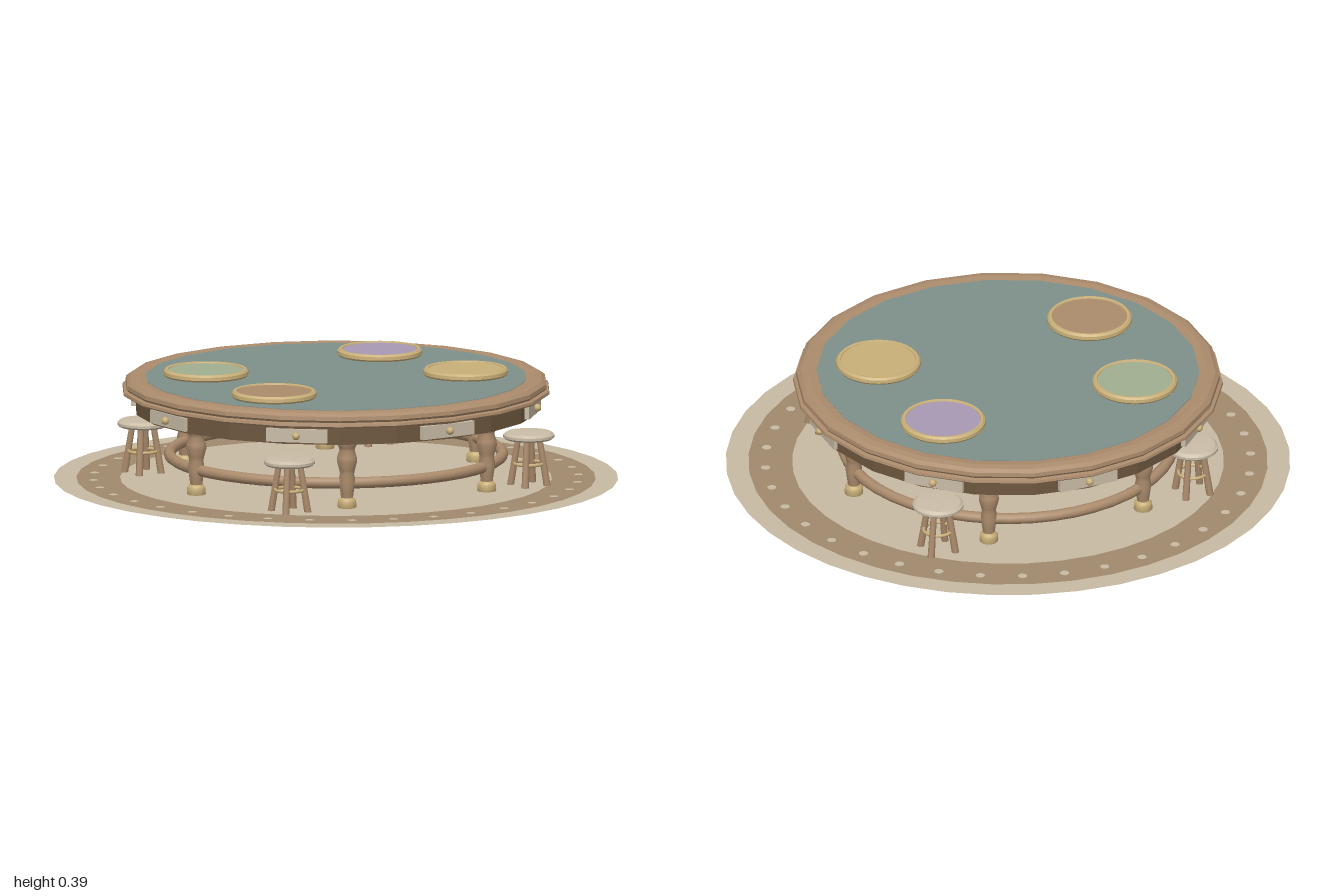
import * as THREE from 'three';
import { toCreasedNormals } from 'three/addons/utils/BufferGeometryUtils.js';

const mat = (name, color, extra = {}) => {
  const m = new THREE.MeshStandardMaterial({ color, ...extra });
  m.name = name;
  return m;
};

export function createModel() {
  const wood = mat('wood', 0xab8b6c);
  const darkWood = mat('dark wood', 0x6e573f);
  const cream = mat('cream', 0xcabda7);
  const rugCream = mat('rug cream', 0xc8baa4, { side: THREE.DoubleSide });
  const rugBrown = mat('rug brown', 0xa18a6d, { side: THREE.DoubleSide });
  const felt = mat('felt', 0x7d9089);
  const brass = mat('brass', 0xc9af78);
  const green = mat('green', 0xa0ae90);
  const purple = mat('purple', 0xa899b4);

  const root = new THREE.Group();
  root.name = 'roundTable';
  const add = (parent, name, geo, material, x = 0, y = 0, z = 0) => {
    const m = new THREE.Mesh(geo, material);
    m.name = name;
    m.position.set(x, y, z);
    parent.add(m);
    return m;
  };
  const group = (name, x = 0, y = 0, z = 0) => {
    const g = new THREE.Group();
    g.name = name;
    g.position.set(x, y, z);
    root.add(g);
    return g;
  };
  const lathe = (pts, segs, crease) => toCreasedNormals(
    new THREE.LatheGeometry(pts.map(p => new THREE.Vector2(...p)), segs), crease);
  const flatRing = (a, b) => new THREE.RingGeometry(a, b, 40).rotateX(-Math.PI / 2);

  // Rug: flat disc, woven band and border, with a ring of dots
  const rug = group('rug');
  add(rug, 'rugCentre', new THREE.CircleGeometry(0.765, 40).rotateX(-Math.PI / 2), rugCream, 0, 0.004);
  add(rug, 'rugBand', flatRing(0.765, 0.92), rugBrown, 0, 0.004);
  add(rug, 'rugBorder', flatRing(0.92, 1), rugCream, 0, 0.004);
  const dot = new THREE.CircleGeometry(0.017, 8).rotateX(-Math.PI / 2);
  for (let i = 0; i < 36; i++) {
    const a = i * Math.PI / 18;
    add(rug, 'rugDot', dot, rugCream, 0.86 * Math.sin(a), 0.006, 0.86 * Math.cos(a));
  }

  // Table top: faceted rim with a stepped lip, felt inset, dark apron
  const table = group('table');
  add(table, 'rim', lathe([
    [0.7, 0.314], [0.755, 0.316], [0.762, 0.322], [0.76, 0.331], [0.745, 0.334],
    [0.751, 0.342], [0.749, 0.356], [0.735, 0.366], [0.71, 0.37], [0.67, 0.366]
  ], 22, 0.25), wood);
  add(table, 'feltTop', new THREE.CylinderGeometry(0.678, 0.678, 0.04, 22), felt, 0, 0.348);
  add(table, 'apron', toCreasedNormals(new THREE.CylinderGeometry(0.715, 0.715, 0.075, 22), 0.25),
    darkWood, 0, 0.2875);

  // Eight drawers around the apron, each with a brass knob
  const drawerGeo = new THREE.BoxGeometry(0.22, 0.048, 0.024);
  const knobGeo = new THREE.SphereGeometry(0.014, 12, 8);
  for (let i = 0; i < 8; i++) {
    const d = group('drawer');
    d.rotation.y = i * Math.PI / 4;
    add(d, 'drawerFront', drawerGeo, cream, 0, 0.281, 0.707);
    add(d, 'drawerKnob', knobGeo, brass, 0, 0.281, 0.727);
  }

  // Six turned legs on brass feet, joined by a ring stretcher
  const legGeo = lathe([
    [0.02, 0.03], [0.024, 0.06], [0.03, 0.1], [0.025, 0.125], [0.028, 0.14], [0.036, 0.17],
    [0.035, 0.185], [0.027, 0.21], [0.03, 0.222], [0.036, 0.232], [0.036, 0.252]
  ], 14, 0.9);
  const footGeo = lathe([
    [0, 0], [0.03, 0], [0.034, 0.008], [0.032, 0.03], [0.024, 0.04], [0, 0.04]
  ], 14, 0.7);
  for (let i = 0; i < 6; i++) {
    const a = Math.PI / 6 + i * Math.PI / 3;
    const leg = group('tableLeg', 0.595 * Math.sin(a), 0, 0.595 * Math.cos(a));
    add(leg, 'legPost', legGeo, wood);
    add(leg, 'legFoot', footGeo, brass);
  }
  add(table, 'stretcherRing', new THREE.TorusGeometry(0.59, 0.02, 10, 48).rotateX(Math.PI / 2), wood, 0, 0.091);

  // Four stools: padded round seat, splayed legs and a brass foot ring
  const seatGeo = lathe([
    [0, 0.17], [0.082, 0.17], [0.091, 0.177], [0.091, 0.186], [0.08, 0.195], [0, 0.199]
  ], 20, 0.6);
  const top = new THREE.Vector3(0.027, 0.172, 0.027), foot = new THREE.Vector3(0.047, 0, 0.047);
  const stoolLegGeo = new THREE.CylinderGeometry(0.011, 0.013, top.distanceTo(foot), 10);
  stoolLegGeo.applyQuaternion(new THREE.Quaternion().setFromUnitVectors(
    new THREE.Vector3(0, 1, 0), top.clone().sub(foot).normalize()));
  const mid = top.clone().add(foot).multiplyScalar(0.5);
  stoolLegGeo.translate(mid.x, mid.y + 0.001, mid.z);
  const footRing = new THREE.TorusGeometry(0.051, 0.006, 8, 24).rotateX(Math.PI / 2);
  for (const [x, z] of [[-0.51, 0.467], [-0.51, -0.467], [0.487, 0.5], [0.487, -0.5]]) {
    const stool = group('stool', x, 0, z);
    add(stool, 'stoolSeat', seatGeo, cream);
    for (let i = 0; i < 4; i++) add(stool, 'stoolLeg', stoolLegGeo, wood).rotation.y = i * Math.PI / 2;
    add(stool, 'stoolFootRing', footRing, brass, 0, 0.082);
  }

  // Four round place settings with brass rims
  const matGeo = new THREE.CylinderGeometry(0.137, 0.142, 0.022, 32);
  const rimGeo = lathe([
    [0.145, 0.366], [0.151, 0.374], [0.15, 0.386], [0.143, 0.393], [0.134, 0.392], [0.131, 0.384]
  ], 32, 0.7);
  for (const [x, z, colour] of [
    [-0.37, -0.275, green], [0.37, -0.275, purple], [-0.41, 0.22, wood], [0.405, 0.22, brass]
  ]) {
    const setting = group('placeSetting', x, 0, z);
    add(setting, 'settingCentre', matGeo, colour, 0, 0.377);
    add(setting, 'settingRim', rimGeo, brass);
  }
  return root;
}
